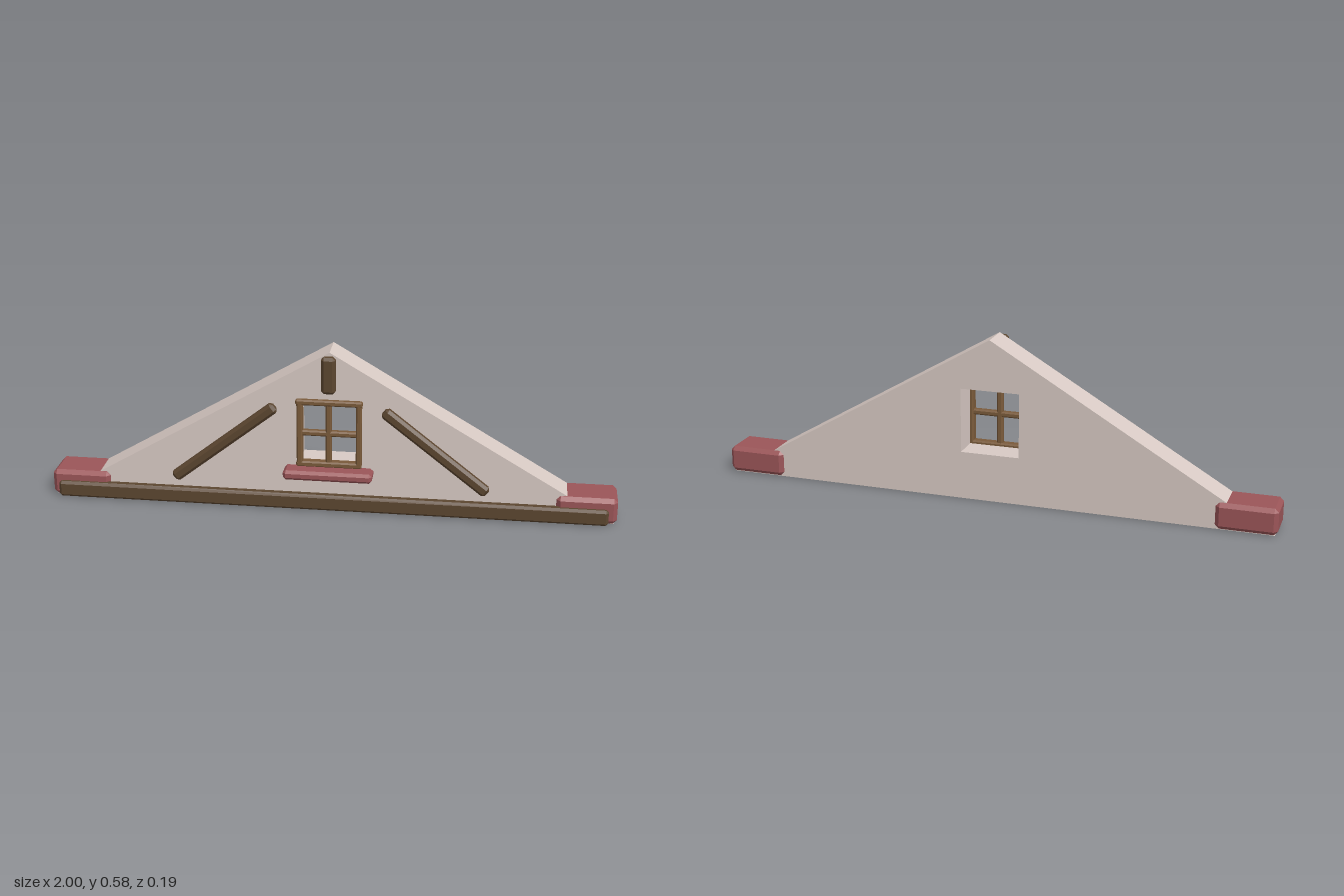
import * as THREE from 'three';
import { ConvexGeometry } from 'three/addons/geometries/ConvexGeometry.js';

const mat = (color) => new THREE.MeshStandardMaterial({ color, flatShading: true });
const plaster = mat(0xd8cac4);
const darkWood = mat(0x5c4630);
const lightWood = mat(0x7a5a3a);
const redTrim = mat(0x9b5558);

// Box with every edge and corner cut off by c
function chamferBox(w, h, d, c) {
  const pts = [];
  for (const x of [-1, 1]) for (const y of [-1, 1]) for (const z of [-1, 1]) {
    const a = w / 2, b = h / 2, e = d / 2;
    pts.push(
      new THREE.Vector3(x * a, y * (b - c), z * (e - c)),
      new THREE.Vector3(x * (a - c), y * b, z * (e - c)),
      new THREE.Vector3(x * (a - c), y * (b - c), z * e)
    );
  }
  return new ConvexGeometry(pts);
}

// Chamfered block given by its extents on each axis
function block(name, material, [x0, x1], [y0, y1], [z0, z1], c) {
  const mesh = new THREE.Mesh(chamferBox(x1 - x0, y1 - y0, z1 - z0, c), material);
  mesh.position.set((x0 + x1) / 2, (y0 + y1) / 2, (z0 + z1) / 2);
  mesh.name = name;
  return mesh;
}

export function createModel() {
  const group = new THREE.Group();
  group.name = 'gableWall';

  // Triangular wall with a window opening
  const shape = new THREE.Shape();
  shape.moveTo(-0.99, 0.004);
  shape.lineTo(0.99, 0.004);
  shape.lineTo(0, 0.586);
  shape.closePath();
  const hole = new THREE.Path();
  hole.moveTo(-0.105, 0.175);
  hole.lineTo(-0.105, 0.405);
  hole.lineTo(0.105, 0.405);
  hole.lineTo(0.105, 0.175);
  hole.closePath();
  shape.holes.push(hole);
  const wallGeo = new THREE.ExtrudeGeometry(shape, { depth: 0.112, bevelEnabled: false });
  wallGeo.translate(0, 0, -0.081);
  const wall = new THREE.Mesh(wallGeo, plaster);
  wall.name = 'wall';
  group.add(wall);

  // Bottom beam and short post under the peak
  group.add(block('bottomBeam', darkWood, [-0.975, 0.97], [0.006, 0.064], [0.028, 0.064], 0.009));
  group.add(block('peakPost', darkWood, [-0.027, 0.023], [0.443, 0.575], [0.028, 0.062], 0.01));

  for (const s of [-1, 1]) {
    const side = s > 0 ? 'left' : 'right';

    // Red end caps wrapping the wall corners
    const xs = s > 0 ? [0.79, 1] : [-1, -0.79];
    group.add(block(side + 'EndCap', redTrim, xs, [0.006, 0.1], [-0.095, 0.047], 0.014));

    // Diagonal braces
    const dx = -0.35, dy = 0.275;
    const brace = new THREE.Mesh(chamferBox(Math.hypot(dx, dy) + 0.015, 0.04, 0.034, 0.01), darkWood);
    brace.position.set(s * 0.37, 0.244, 0.045);
    brace.rotation.z = s * Math.atan2(dy, dx);
    brace.name = side + 'Brace';
    group.add(brace);
  }

  // Window frame, glazing bars and sill
  const win = new THREE.Group();
  win.name = 'window';
  const z = [0.016, 0.048], zBar = [0.02, 0.044];
  win.add(
    block('frameRight', lightWood, [-0.114, -0.093], [0.165, 0.412], z, 0.005),
    block('frameLeft', lightWood, [0.093, 0.113], [0.165, 0.412], z, 0.005),
    block('frameTop', lightWood, [-0.118, 0.115], [0.395, 0.415], z, 0.005),
    block('frameBottom', lightWood, [-0.116, 0.113], [0.165, 0.186], z, 0.005),
    block('mullion', lightWood, [-0.013, 0.008], [0.175, 0.405], zBar, 0.005),
    block('transom', lightWood, [-0.105, 0.105], [0.281, 0.301], zBar, 0.005),
    block('sill', redTrim, [-0.157, 0.154], [0.132, 0.167], [0.025, 0.097], 0.01)
  );
  group.add(win);

  return group;
}
